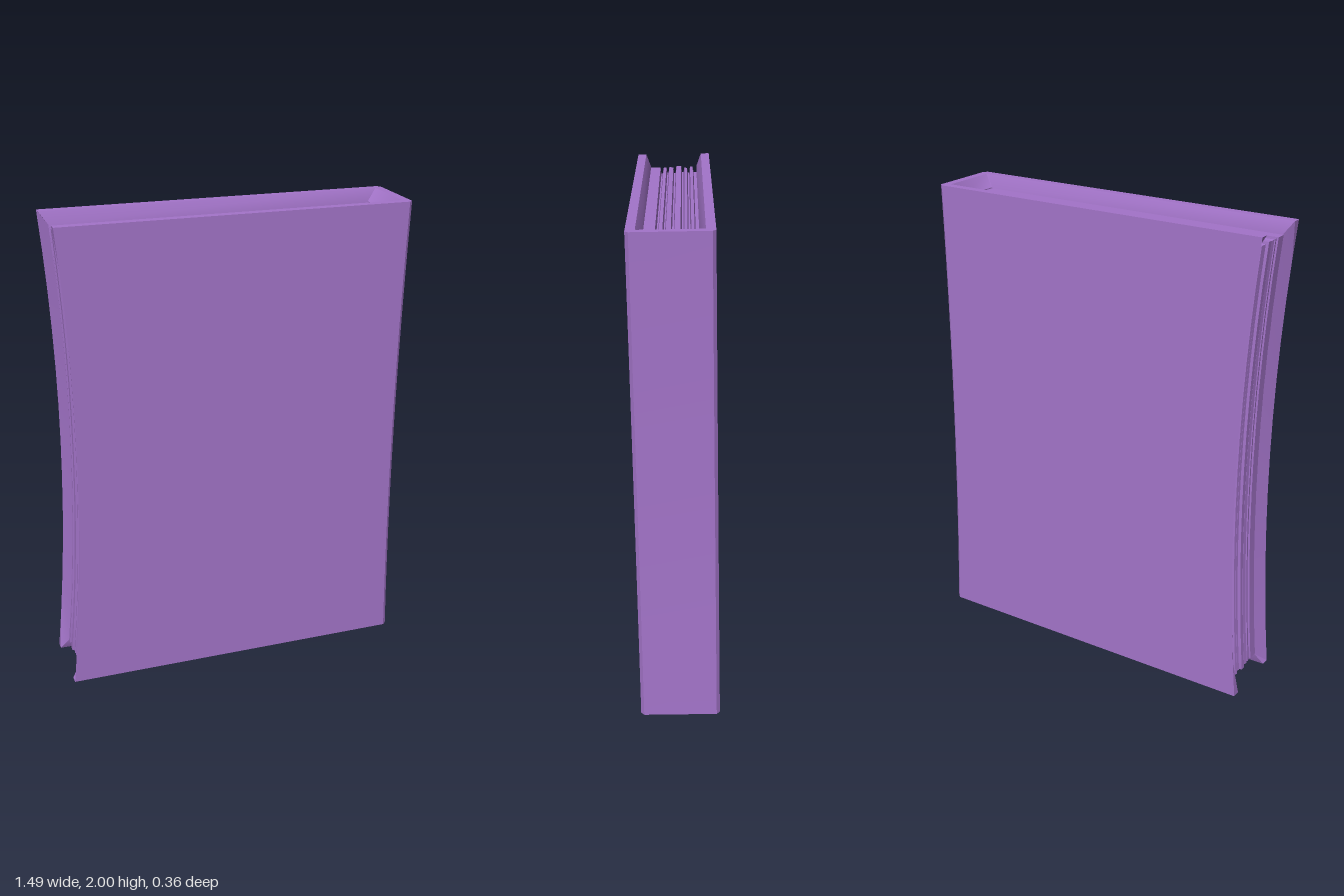
import * as THREE from 'three';
import { toCreasedNormals } from 'three/addons/utils/BufferGeometryUtils.js';

const HALF = 0.997;   // half the height
const ROWS = 13;      // rows up each side
const FORE = -0.745, SPINE = 0.742;

// Point bowed inwards at mid height: strongly at the fore-edge, slightly at the spine
function bowed(x, t, z) {
  const k = (x - FORE) / (SPINE - FORE);
  return [x + (1 - t * t) * (0.052 * (1 - k) - 0.018 * k), t * HALF, z];
}

// Skin closed loops of points (all the same length) and cap both ends
function loft(loops) {
  const n = loops[0].length, index = [];
  const quad = (a, b, c, d) => index.push(a, b, c, a, c, d);
  for (let i = 0; i < loops.length - 1; i++) {
    for (let j = 0; j < n; j++) {
      const a = i * n, b = a + n, m = (j + 1) % n;
      quad(a + j, b + j, b + m, a + m);
    }
  }
  const e = (loops.length - 1) * n;
  for (let k = 0; k < n / 2 - 1; k++) {
    quad(k, k + 1, n - 2 - k, n - 1 - k);
    quad(e + n - 1 - k, e + n - 2 - k, e + k + 1, e + k);
  }
  const g = new THREE.BufferGeometry();
  g.setAttribute('position', new THREE.Float32BufferAttribute(loops.flat(2), 3));
  g.setIndex(index);
  return toCreasedNormals(g, 0.45);
}

// Cover: a U of boards and spine, its rim sloping inwards down to the pages
function coverGeometry() {
  // outer, rim and inner [x, z] at each station from front board round to back board
  const half = [
    [[FORE, 0.16], [FORE, 0.124], [-0.715, 0.103]],
    [[0.727, 0.16], [0.706, 0.124], [0.665, 0.103]],
    [[SPINE, 0.147], [0.708, 0.12], [0.667, 0.1]],
  ];
  const back = half.map((s) => s.map(([x, z]) => [x, -z])).reverse();
  const loops = [...half, ...back].map(([outer, rim, inner]) => {
    const up = [], down = [];
    for (let k = 0; k < ROWS; k++) {
      const s = k - (ROWS - 1) / 2;
      const end = k === 0 || k === ROWS - 1;
      const t = s / ((ROWS - 1) / 2);
      up.push(bowed(outer[0], t, outer[1]));
      const p = end ? rim : inner;
      down.unshift(bowed(p[0], end ? t : 0.95 * s / ((ROWS - 3) / 2), p[1]));
    }
    return [...up, ...down];
  });
  return loft(loops);
}

// Pages: a block whose outline steps in and out across its thickness
function pagesGeometry() {
  // [z, depth of the step]
  const steps = [
    [-0.106, 0.024], [-0.09, 0.024], [-0.086, 0.004], [-0.074, 0.002], [-0.07, 0.026],
    [-0.064, 0.026], [-0.06, 0.008], [-0.048, 0.006], [-0.044, 0.024], [-0.038, 0.024],
    [-0.034, 0], [-0.012, 0], [-0.008, 0.026], [-0.002, 0.026], [0.002, 0.006],
    [0.02, 0.003], [0.024, 0.024], [0.029, 0.024], [0.033, 0.004], [0.046, 0.006],
    [0.05, 0.028], [0.056, 0.028], [0.06, 0.004], [0.106, 0.004],
  ];
  const loops = steps.map(([z, d]) => {
    const up = [], down = [];
    for (let k = 0; k < ROWS; k++) {
      const t = (0.95 - d) * (2 * k / (ROWS - 1) - 1);
      up.push(bowed(-0.72 + d, t, z));
      down.unshift(bowed(0.685, t, z));
    }
    return [...up, ...down];
  });
  return loft(loops);
}

export function createModel() {
  const material = new THREE.MeshStandardMaterial({ color: 0xa374c9 });
  const book = new THREE.Group();
  book.name = 'book';
  const add = (name, geometry) => {
    const mesh = new THREE.Mesh(geometry, material);
    mesh.name = name;
    book.add(mesh);
  };
  add('cover', coverGeometry());
  add('pages', pagesGeometry());

  // The book leans forwards a touch
  book.rotation.x = 0.019;
  book.position.y = 1;
  const model = new THREE.Group();
  model.name = 'closedBook';
  model.add(book);
  return model;
}
